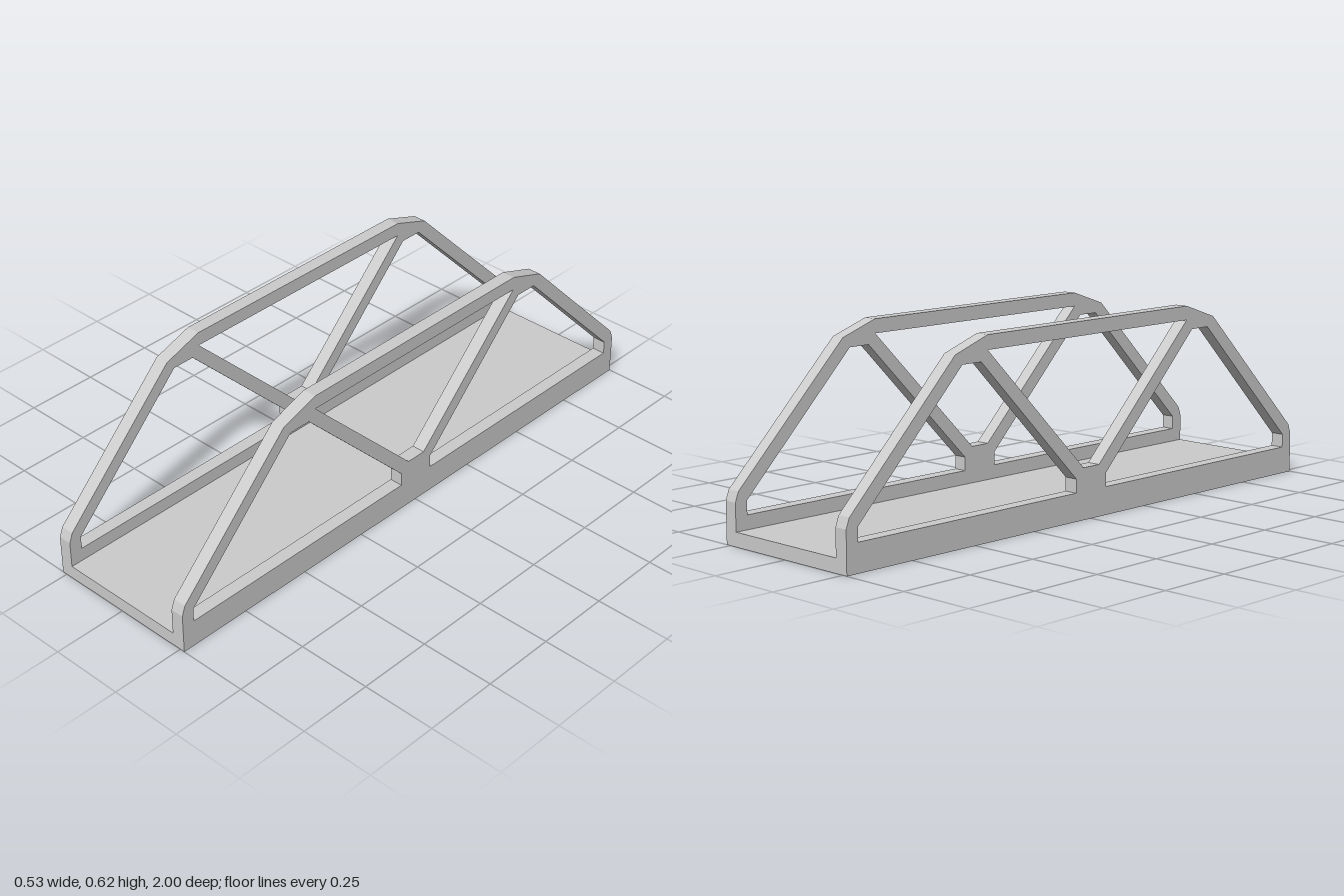
import * as THREE from 'three';

const HALF_WIDTH = 0.267, THICK = 0.045;

// Mirror half of a polygon (listed from +z towards the middle) about z = 0
const mirrored = (half) => [...half, ...half.slice().reverse().map(([z, y]) => [-z, y])];
const toPoints = (pts) => pts.map(([z, y]) => new THREE.Vector2(z, y));

function trussGeometry() {
  // Outer silhouette of the side truss, in (z, y)
  const shape = new THREE.Shape(toPoints(mirrored([
    [1, 0], [1, 0.133], [0.988, 0.165], [0.578, 0.575], [0.447, 0.62],
  ])));
  // Openings at the two ends
  const endOpening = [
    [0.957, 0.09], [0.957, 0.134], [0.55, 0.543], [0.474, 0.543], [0.067, 0.134], [0.067, 0.09],
  ];
  for (const s of [1, -1]) {
    shape.holes.push(new THREE.Path(toPoints(endOpening.map(([z, y]) => [s * z, y]))));
  }
  // Middle opening between the diagonals
  shape.holes.push(new THREE.Path(toPoints(mirrored([[0.447, 0.575], [0.035, 0.165]]))));

  const geometry = new THREE.ExtrudeGeometry(shape, { depth: THICK, bevelEnabled: false });
  geometry.rotateY(-Math.PI / 2); // profile runs along z, thickness along x
  geometry.translate(THICK / 2, 0, 0);
  return geometry;
}

export function createModel() {
  const model = new THREE.Group();
  model.name = 'trussBridge';
  const material = new THREE.MeshStandardMaterial({ color: 0xcccccc, flatShading: true });

  // Flat roadway between the trusses
  const deck = new THREE.Mesh(
    new THREE.BoxGeometry(2 * (HALF_WIDTH - THICK), 0.045, 2), material);
  deck.name = 'deck';
  deck.position.y = 0.0225;
  model.add(deck);

  // Matching trusses on both sides
  const geometry = trussGeometry();
  for (const [name, side] of [['leftTruss', 1], ['rightTruss', -1]]) {
    const truss = new THREE.Mesh(geometry, material);
    truss.name = name;
    truss.position.x = side * (HALF_WIDTH - THICK / 2);
    model.add(truss);
  }
  return model;
}
